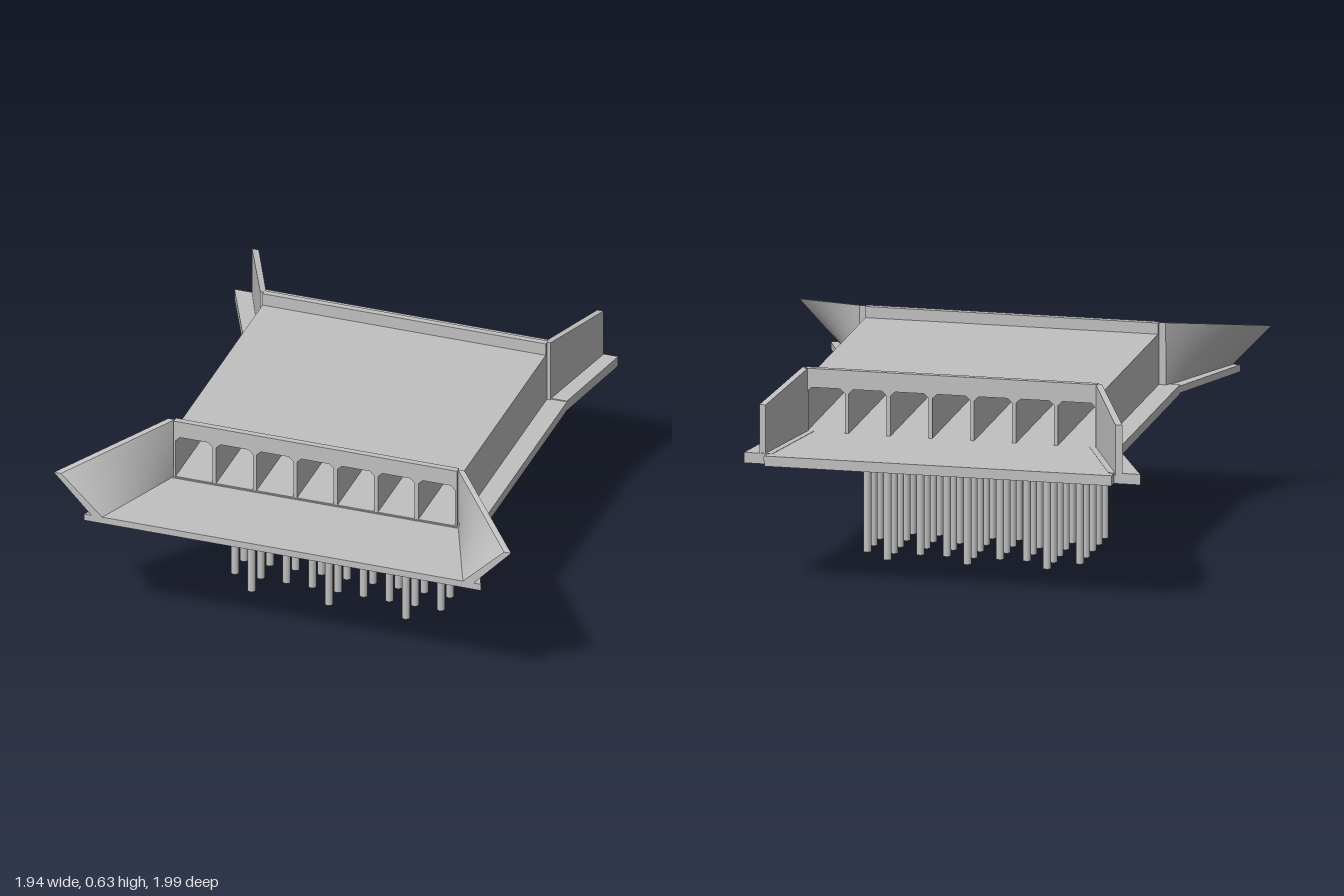
import * as THREE from 'three';

export function createModel() {
  const concrete = new THREE.MeshStandardMaterial({ color: 0xc0c0c0 });
  concrete.name = 'concrete';
  const model = new THREE.Group();
  model.name = 'boxCulvert';

  // Local frame: x across the barrels, z along them (inlet at +z), turned in plan
  const culvert = new THREE.Group();
  culvert.name = 'culvert';
  culvert.rotation.y = -Math.atan2(0.755, 0.656);
  culvert.position.set(0.05, 0, -0.035);
  model.add(culvert);

  const lerp = THREE.MathUtils.lerp;
  const add = (name, geometry) => {
    const mesh = new THREE.Mesh(geometry, concrete);
    mesh.name = name;
    culvert.add(mesh);
    return mesh;
  };
  const block = (name, x0, x1, y0, y1, z0, z1) =>
    add(name, new THREE.BoxGeometry(x1 - x0, y1 - y0, z1 - z0))
      .position.set((x0 + x1) / 2, (y0 + y1) / 2, (z0 + z1) / 2);
  // Horizontal slab from a plan outline of [x, -z] corners
  const slab = (name, outline, y0, y1) => {
    const shape = new THREE.Shape(outline.map(([x, y]) => new THREE.Vector2(x, y)));
    const g = new THREE.ExtrudeGeometry(shape, { depth: y1 - y0, bevelEnabled: false });
    g.rotateX(-Math.PI / 2);
    g.translate(0, y0, 0);
    add(name, g);
  };

  // Barrel block with seven haunched cells running through
  const half = 0.457, halfLength = 0.415, cells = 7;
  const pitch = (half * 2) / cells;
  const body = new THREE.Shape();
  body.moveTo(-half, 0.425);
  body.lineTo(half, 0.425);
  body.lineTo(half, 0.595);
  body.lineTo(-half, 0.595);
  for (let i = 0; i < cells; i++) {
    const c = -half + pitch * (i + 0.5), w = pitch / 2 - 0.006;
    const lo = 0.437, hi = 0.576, r = 0.014;
    const cell = new THREE.Path();
    cell.moveTo(c - w, lo);
    cell.lineTo(c - w, hi - r);
    cell.lineTo(c - w + r, hi);
    cell.lineTo(c + w - r, hi);
    cell.lineTo(c + w, hi - r);
    cell.lineTo(c + w, lo);
    body.holes.push(cell);
  }
  const bodyGeometry = new THREE.ExtrudeGeometry(body, { depth: halfLength * 2, bevelEnabled: false });
  bodyGeometry.translate(0, 0, -halfLength);
  add('barrels', bodyGeometry);

  // Base slab and the two headwall parapets
  block('baseSlab', -0.52, 0.52, 0.405, 0.435, -0.412, 0.418);
  block('inletHeadwall', -half, half, 0.595, 0.63, 0.395, 0.415);
  block('outletHeadwall', -half, half, 0.595, 0.635, -0.415, -0.395);

  // Inlet apron
  slab('inletApron', [[-0.52, -0.41], [0.52, -0.41], [0.64, -0.715], [-0.64, -0.715]], 0.41, 0.432);

  // Outlet apron: thin floor, toe beam and wing footings
  slab('outletApron', [[-0.457, 0.41], [0.457, 0.41], [0.51, 0.745], [-0.577, 0.745]], 0.422, 0.437);
  block('outletToeBeam', -0.577, 0.507, 0.405, 0.436, -0.745, -0.655);
  slab('outletFootingRight', [[-0.52, 0.41], [-0.66, 0.713], [-0.56, 0.713], [-0.43, 0.41]], 0.405, 0.438);
  slab('outletFootingLeft', [[0.52, 0.41], [0.577, 0.717], [0.49, 0.717], [0.43, 0.41]], 0.405, 0.438);

  // Wing wall: a box whose four long edges run straight from the headwall to the tip.
  // a and b hold [foot inside, foot outside, top inside, top outside, top height].
  const wing = (name, side, dir, a, b) => {
    const g = new THREE.BoxGeometry(1, 1, 1, 1, 6, 10);
    const p = g.attributes.position;
    for (let i = 0; i < p.count; i++) {
      const out = 0.5 + side * p.getX(i), up = 0.5 + p.getY(i), t = 0.5 + dir * p.getZ(i);
      const [fi, fo, ti, to, top] = a.map((v, k) => lerp(v, b[k], t));
      p.setXYZ(i, side * lerp(lerp(fi, fo, out), lerp(ti, to, out), up),
        lerp(0.43, top, up), dir * lerp(0.405, 0.715, t));
    }
    g.computeVertexNormals();
    add(name, g);
  };
  for (const side of [-1, 1]) {
    wing(side < 0 ? 'inletWingRight' : 'inletWingLeft', side, 1,
      [0.457, 0.48, 0.457, 0.478, 0.63], [0.58, 0.615, 0.715, 0.738, 0.56]);
  }
  wing('outletWingRight', -1, -1, [0.448, 0.468, 0.448, 0.468, 0.635], [0.582, 0.604, 0.582, 0.604, 0.59]);
  wing('outletWingLeft', 1, -1, [0.448, 0.468, 0.448, 0.468, 0.635], [0.51, 0.53, 0.51, 0.53, 0.59]);

  // Piles: five full rows of nine, and a row of three at each end
  const pileGeometry = new THREE.CylinderGeometry(0.0125, 0.0125, 0.41, 12);
  for (let row = -3; row <= 3; row++) {
    for (let col = -4; col <= 4; col++) {
      if (Math.abs(row) === 3 && col % 3 !== 0) continue;
      add('pile', pileGeometry).position.set(col * 0.083 - 0.005, 0.205, row * 0.083 + 0.028);
    }
  }
  return model;
}
